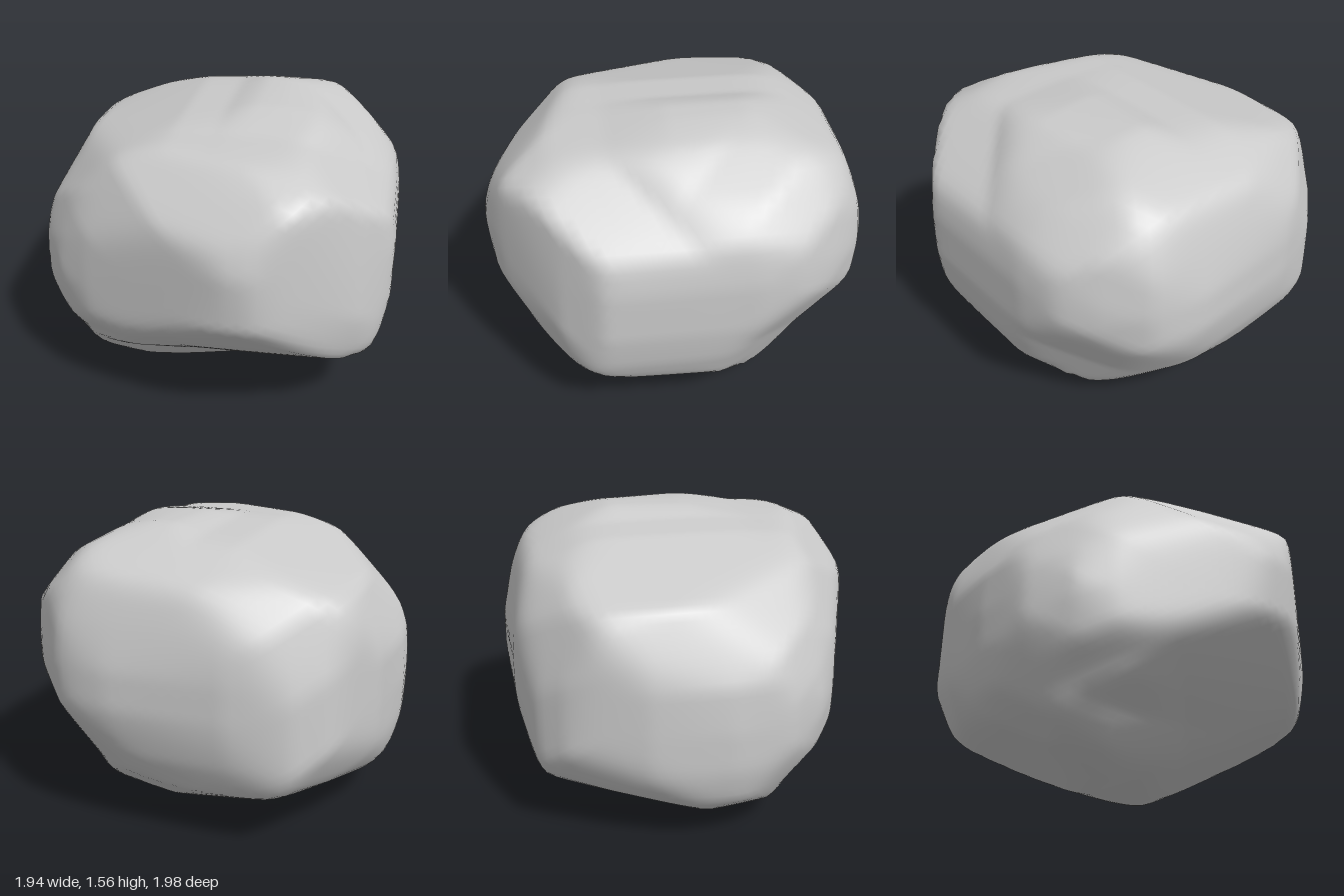
import * as THREE from 'three';
import { mergeVertices } from 'three/addons/utils/BufferGeometryUtils.js';

const MID = 0.79; // height of the boulder's middle
const SHARPNESS = 40; // higher gives crisper edges between the cuts
const TILT_ABOVE = THREE.MathUtils.degToRad(24);
const TILT_BELOW = THREE.MathUtils.degToRad(-26);

// Outlines around the middle; each one is a cutter seen along one direction.
const frontOutline = [[-.98, -.07], [-.95, .16], [-.78, .53], [-.2, .71], [.02, .73], [.18, .79], [.3, .79], [.5, .75], [.78, .62],
  [.92, .42], [.975, .2], [.97, -.07], [.92, -.29], [.85, -.48], [.77, -.55], [.72, -.64], [.5, -.74], [.25, -.76], [.04, -.74],
  [-.2, -.79], [-.62, -.73], [-.82, -.61], [-.91, -.49], [-.97, -.28]];
const sideOutline = [[1, .26], [.89, .57], [.84, .61], [.66, .69], [.35, .71], [.04, .77], [-.38, .79], [-.84, .63], [-.92, .39],
  [-.99, .16], [-1, -.03], [-.92, -.29], [-.84, -.47], [-.66, -.63], [-.33, -.76], [.05, -.79], [.32, -.73], [.44, -.55],
  [.6, -.45], [.96, -.05]];
const planOutline = [[.2, 1], [.3, .99], [.45, .9], [.82, .63], [.97, .42], [.96, -.35], [.91, -.58], [.82, -.78], [.6, -.93],
  [.3, -1], [-.3, -.96], [-.63, -.87], [-.77, -.77], [-.92, -.35], [-.98, .05], [-.93, .37], [-.8, .57], [-.6, .68], [-.2, .84]];
const frontCornerOutline = [[-.98, -.04], [-.93, .2], [-.84, .42], [-.43, .8], [.1, .91], [.88, .73], [1.08, .42], [1.11, .2],
  [1.08, 0], [.87, -.35], [.73, -.65], [.37, -.76], [-.36, -.7], [-.69, -.59], [-.8, -.37], [-.92, -.24]];
const backCornerOutline = [[-1.11, .08], [-1.04, .42], [-.83, .63], [-.53, .75], [-.29, .91], [-.04, .96], [.3, .9], [.71, .58],
  [.89, .24], [.98, -.07], [.93, -.34], [.74, -.68], [.55, -.79], [-.25, -.8], [-.53, -.74], [-.78, -.55], [-1.08, -.15]];
const lowCornerOutline = [[-1.04, -.04], [-.97, .5], [-.61, .67], [-.34, .95], [.1, 1.02], [.69, .76], [.94, .47], [1.05, .14],
  [1.07, -.19], [.88, -.48], [.63, -.79], [.29, -.91], [.04, -.86], [-.34, -.6], [-.96, -.3]];

// Cutter with its two outline axes in space
const cutter = (outline, u, v) => ({ outline, u: new THREE.Vector3(...u), v: new THREE.Vector3(...v) });

// Cutter along a corner diagonal (sx, sz), tipped up or down
function cornerCutter(outline, sx, sz, tilt) {
  const h = Math.SQRT1_2, s = Math.sin(tilt), c = Math.cos(tilt);
  return cutter(outline, [sz * h, 0, -sx * h], [-sx * h * s, c, -sz * h * s]);
}

// Distance from the middle to an outline along (a, b)
function reach(outline, a, b) {
  let best = Infinity;
  outline.forEach(([px, py], i) => {
    const [qx, qy] = outline[(i + 1) % outline.length];
    const ex = qx - px, ey = qy - py, det = a * ey - b * ex;
    if (Math.abs(det) < 1e-9) return;
    const t = (px * ey - py * ex) / det, s = (px * b - py * a) / det;
    if (t > 0 && s >= -1e-6 && s <= 1 + 1e-6) best = Math.min(best, t);
  });
  return best;
}

export function createModel() {
  const group = new THREE.Group();
  group.name = 'boulder';
  const cutters = [
    cutter(frontOutline, [1, 0, 0], [0, 1, 0]),
    cutter(sideOutline, [0, 0, 1], [0, 1, 0]),
    cutter(planOutline, [1, 0, 0], [0, 0, 1]),
    cornerCutter(frontCornerOutline, 1, 1, TILT_ABOVE),
    cornerCutter(backCornerOutline, -1, -1, TILT_ABOVE),
    cornerCutter(lowCornerOutline, 1, -1, TILT_BELOW),
  ];

  // Ball cut back by every outline, with softened edges between the cuts
  let geo = new THREE.IcosahedronGeometry(1, 24);
  geo.deleteAttribute('uv');
  geo.deleteAttribute('normal');
  geo = mergeVertices(geo, 1e-4);
  const pos = geo.attributes.position, dir = new THREE.Vector3();
  for (let i = 0; i < pos.count; i++) {
    dir.fromBufferAttribute(pos, i).normalize();
    let sum = 0;
    for (const { outline, u, v } of cutters) sum += reach(outline, dir.dot(u), dir.dot(v)) ** -SHARPNESS;
    dir.multiplyScalar(1.01 * sum ** (-1 / SHARPNESS));
    pos.setXYZ(i, dir.x, dir.y, dir.z);
  }

  // Rest the stone on the ground
  geo.computeBoundingBox();
  geo.translate(0, -geo.boundingBox.min.y, 0);
  geo.computeVertexNormals();

  const stone = new THREE.Mesh(geo, new THREE.MeshStandardMaterial({ color: 0xcccccc }));
  stone.name = 'stone';
  group.add(stone);
  return group;
}
